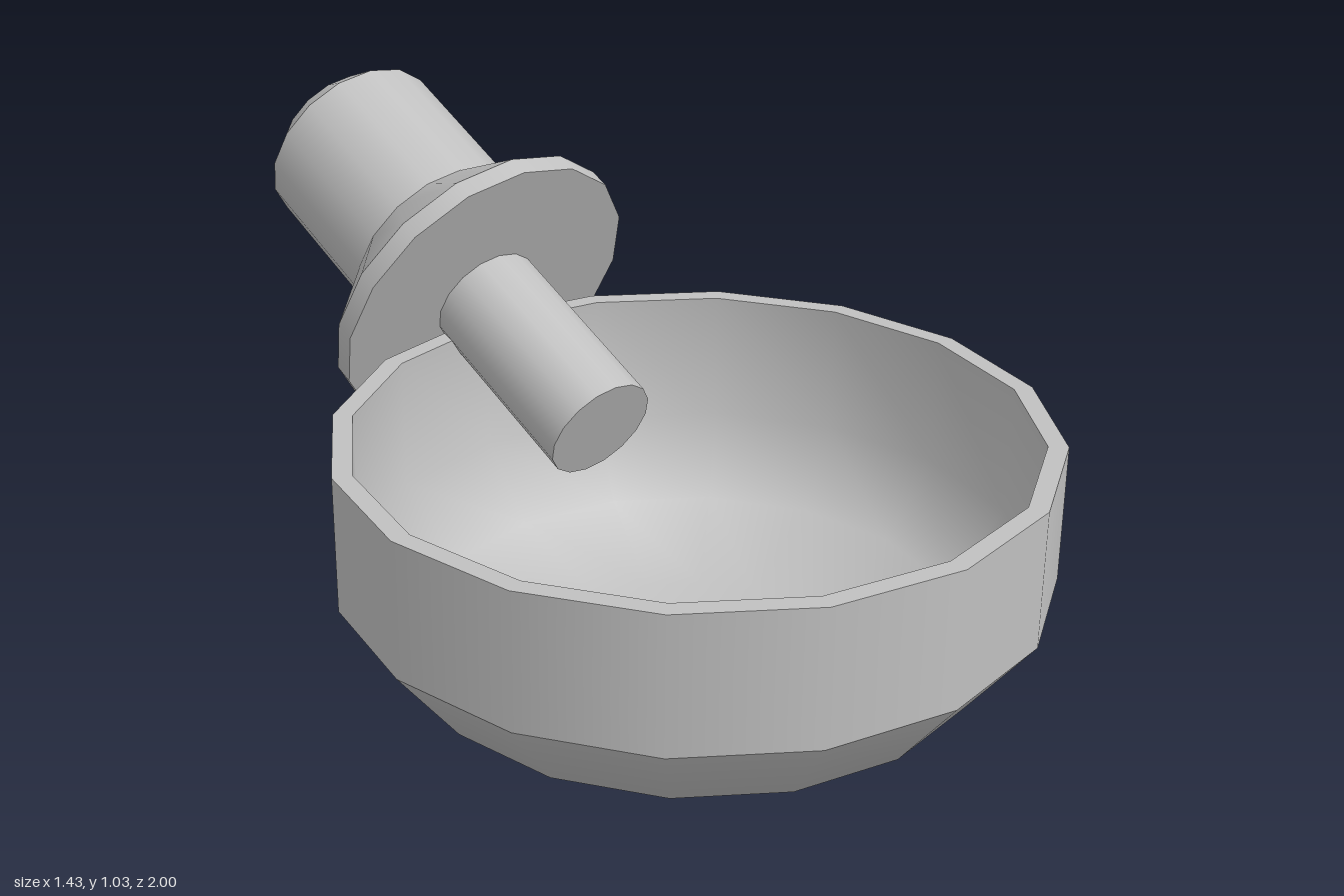
import * as THREE from 'three';
import { mergeGeometries } from 'three/addons/utils/BufferGeometryUtils.js';

const SIDES = 16;

// Turns each profile run separately, so normals stay sharp between runs.
function turned(name, runs, material) {
  const parts = runs.map((run) =>
    new THREE.LatheGeometry(run.map(([r, y]) => new THREE.Vector2(r, y)), SIDES));
  const mesh = new THREE.Mesh(mergeGeometries(parts), material);
  mesh.name = name;
  return mesh;
}

export function createModel() {
  const model = new THREE.Group();
  model.name = 'bowlWithHandle';
  const grey = new THREE.MeshStandardMaterial({ color: 0xc0c0c0 });
  grey.name = 'plain grey';

  // Hollow bowl: rounded base, upright wall, flat rim, smooth inside
  const bowl = turned('bowl', [
    [[0, 0], [0.14, 0.003], [0.32, 0.028], [0.58, 0.112], [0.715, 0.285]],
    [[0.715, 0.285], [0.715, 0.57]],
    [[0.715, 0.57], [0.675, 0.57]],
    [[0.675, 0.57], [0.675, 0.295], [0.55, 0.145], [0.3, 0.065], [0.13, 0.042], [0, 0.04]],
  ], grey);
  bowl.position.z = 0.285;
  model.add(bowl);

  // Handle parts share one axis, rising towards the back
  const handle = new THREE.Group();
  handle.name = 'handle';
  handle.position.set(0, 0.632, -0.392);
  handle.rotation.x = -THREE.MathUtils.degToRad(66.5);
  model.add(handle);

  // Rod reaching into the bowl
  handle.add(turned('rod', [
    [[0, -0.419], [0.12, -0.419]],
    [[0.12, -0.419], [0.12, 0.01]],
  ], grey));

  // Collar: flat face, thin edge, cone narrowing to the grip
  handle.add(turned('collar', [
    [[0, 0], [0.347, 0]],
    [[0.347, 0], [0.347, 0.044]],
    [[0.347, 0.044], [0.206, 0.183]],
  ], grey));

  // Grip with a chamfered end
  handle.add(turned('grip', [
    [[0.206, 0.183], [0.206, 0.535]],
    [[0.206, 0.535], [0.143, 0.598]],
    [[0.143, 0.598], [0, 0.598]],
  ], grey));

  return model;
}
